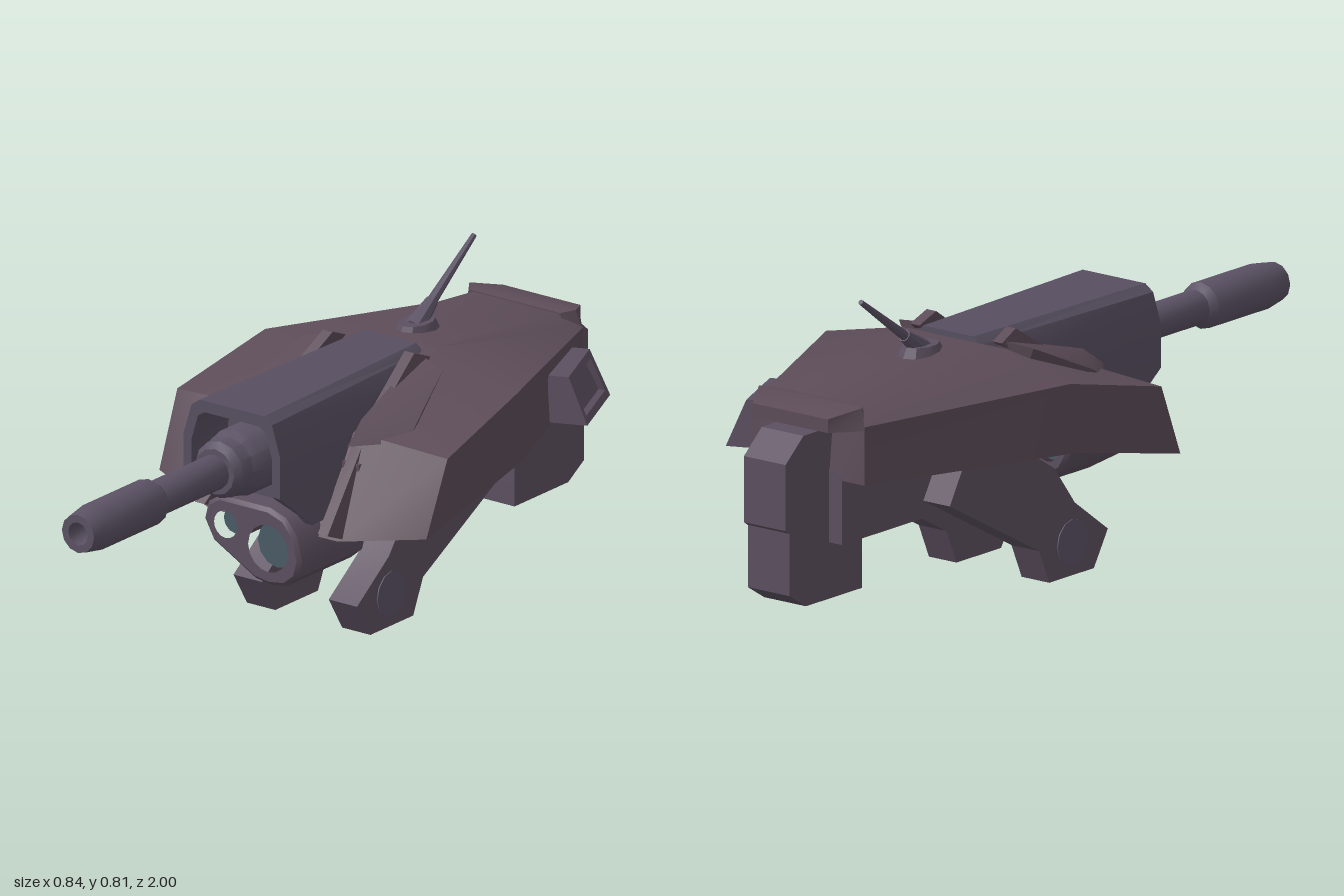
import * as THREE from 'three';
import { toCreasedNormals } from 'three/addons/utils/BufferGeometryUtils.js';
import { ConvexGeometry } from 'three/addons/geometries/ConvexGeometry.js';

const paint = color => new THREE.MeshStandardMaterial({ color });
const armour = paint(0x5c4c58);
const hoodPaint = paint(0x574f60);
const gunmetal = paint(0x5b5264);
const frame = paint(0x5c5060);
const glass = paint(0x4a5c66);

function part(name, geometry, material, parent) {
  const mesh = new THREE.Mesh(toCreasedNormals(geometry, 0.6), material);
  mesh.name = name;
  parent.add(mesh);
  return mesh;
}

// Skins rings of [x, y, z] half-sections (bottom to top), mirrored across x.
function loft(halves) {
  const rings = halves.map(h => [...h, ...h.slice().reverse().map(([x, y, z]) => [-x, y, z])]);
  const h = halves[0].length, n = 2 * h, index = [];
  for (let i = 0; i < rings.length - 1; i++) {
    for (let j = 0; j < n; j++) {
      const a = i * n + j, b = i * n + (j + 1) % n;
      if (j < h) index.push(a, b, b + n, a, b + n, a + n);
      else index.push(a, b, a + n, b, b + n, a + n);
    }
  }
  // Symmetric end caps: a fan on each half and a quad between them
  const cap = [[0, h - 1, h], [0, h, n - 1]];
  for (let j = 1; j < h - 1; j++) {
    cap.push([0, j, j + 1], [n - 1, n - 2 - j, n - 1 - j]);
  }
  const last = (rings.length - 1) * n;
  for (const [a, b, c] of cap) index.push(a, c, b, last + a, last + b, last + c);
  const g = new THREE.BufferGeometry();
  g.setAttribute('position', new THREE.Float32BufferAttribute(rings.flat(2), 3));
  g.setIndex(index);
  return g;
}

const outline = pts => new THREE.Shape(pts.map(p => new THREE.Vector2(...p)));

// Extrudes a [z, y] side profile across x, centred on x.
function slab(pts, width, x = 0) {
  const g = new THREE.ExtrudeGeometry(outline(pts), { depth: width, bevelEnabled: false });
  return g.rotateY(-Math.PI / 2).translate(x + width / 2, 0, 0);
}

// Turns a [radius, length] profile about the z axis.
function turned(pts, sides) {
  const g = new THREE.LatheGeometry(pts.map(p => new THREE.Vector2(...p)), sides);
  return g.rotateX(Math.PI / 2);
}

export function createModel() {
  const model = new THREE.Group();
  model.name = 'gunPod';

  // Armoured upper shell
  part('upperHull', loft([
    [[0.10, 0.40, -0.83], [0.18, 0.40, -0.83], [0.18, 0.55, -0.83], [0.13, 0.585, -0.81]],
    [[0.14, 0.40, -0.28], [0.405, 0.405, -0.28], [0.39, 0.58, -0.28], [0.13, 0.64, -0.30]],
    [[0.20, 0.29, 0.20], [0.415, 0.32, 0.12], [0.42, 0.51, 0.04], [0.20, 0.52, 0.05]],
  ]), armour, model);

  // Central hood with a recessed front opening
  const hood = (z, chin) => [
    [0.145, 0.33, chin], [0.15, 0.44, z], [0.15, 0.55, z], [0.125, 0.63, z], [0.10, 0.648, z]];
  const opening = (z, chin) => [
    [0.12, 0.35, chin], [0.125, 0.44, z], [0.125, 0.54, z], [0.105, 0.605, z], [0.085, 0.618, z]];
  const hoodBack = hood(-0.28, -0.28).map(([x, y, z]) => [x * 0.8, y, z]);
  part('hood', loft([hoodBack, hood(0.37, 0.23), opening(0.37, 0.24), opening(0.22, 0.22)]), hoodPaint, model);
  part('neck', new THREE.BoxGeometry(0.38, 0.12, 0.4).translate(0, 0.4, -0.1), armour, model);

  // Barrel with hollow muzzle
  part('barrel', turned([
    [0, 0.2], [0.087, 0.2], [0.087, 0.36], [0.075, 0.38], [0.075, 0.42], [0.06, 0.44], [0.045, 0.44],
    [0.045, 0.69], [0.06, 0.71], [0.06, 0.94], [0.05, 1], [0.03, 1], [0.026, 0.93], [0, 0.93],
  ], 12).translate(0, 0.5, 0), gunmetal, model);

  // Twin-lens sensor pod
  const lenses = [[-0.08, 0.30, 0.036], [0.052, 0.265, 0.062]];
  const podShape = outline([
    [-0.14, 0.30], [-0.13, 0.34], [-0.10, 0.36], [0.05, 0.36], [0.095, 0.345], [0.125, 0.31],
    [0.14, 0.25], [0.13, 0.21], [0.10, 0.185], [0.055, 0.178], [0.01, 0.185], [-0.115, 0.255]]);
  for (const [x, y, r] of lenses) {
    podShape.holes.push(new THREE.Path().absarc(x, y, r, 0, Math.PI * 2, true));
    const lens = new THREE.CylinderGeometry(r, r, 0.22, 12).rotateX(Math.PI / 2);
    part('lens', lens.translate(x, y, 0.14), glass, model);
  }
  part('sensorPod', new THREE.ExtrudeGeometry(podShape, {
    depth: 0.26, bevelThickness: 0.01, bevelSize: 0.01, bevelSegments: 1, curveSegments: 8,
  }).translate(0, 0, 0.02), frame, model);

  // Underside body and tail
  part('lowerHull', slab([[-0.2, 0.42], [-0.34, 0.235], [-0.83, 0.235], [-0.83, 0.42]], 0.215), frame, model);
  part('tail', slab([
    [-0.70, 0.25], [-0.70, 0.09], [-0.92, 0.09], [-0.985, 0.13], [-0.985, 0.29],
    [-1, 0.30], [-1, 0.47], [-0.93, 0.53], [-0.80, 0.53]], 0.133), frame, model);
  part('tailCap', loft([
    [[0.12, 0.54, -0.9], [0.12, 0.575, -0.9]],
    [[0.18, 0.54, -0.83], [0.165, 0.595, -0.82]],
    [[0.16, 0.54, -0.79], [0.14, 0.59, -0.79]],
  ]), armour, model);

  for (const side of [-1, 1]) {
    // Cheek plates beside the hood, leaning inward towards the top
    const plate = slab([
      [0.25, 0.32], [0.06, 0.50], [-0.19, 0.66], [-0.25, 0.635], [-0.02, 0.46], [0.19, 0.295]], 0.03);
    const p = plate.attributes.position;
    for (let i = 0; i < p.count; i++) {
      const drop = (0.66 - p.getY(i)) / 0.36;
      p.setX(i, p.getX(i) + side * (0.127 + 0.068 * drop));
    }
    part('cheekPlate', plate, armour, model);

    // Raised wedge on the shoulder
    part('shoulderWedge', new ConvexGeometry([
      [0.12, 0.64, -0.24], [0.215, 0.625, -0.21], [0.265, 0.54, -0.03], [0.27, 0.51, 0],
      [0.17, 0.51, 0.12], [0.16, 0.56, 0.05], [0.14, 0.45, -0.2],
    ].map(([x, y, z]) => new THREE.Vector3(side * x, y, z))), armour, model);

    // Leg with foot and ankle disc
    const leg = new THREE.Group();
    leg.name = 'leg';
    part('legBeam', slab([
      [-0.28, 0.40], [-0.10, 0.29], [-0.02, 0.185], [0.11, 0.09], [0.055, 0], [-0.12, 0],
      [-0.16, 0.09], [-0.51, 0.28], [-0.44, 0.40]], 0.088, side * 0.148), frame, leg);
    part('ankleDisc', new THREE.CylinderGeometry(0.06, 0.06, 0.01, 12)
      .rotateZ(Math.PI / 2).translate(side * 0.19, 0.085, -0.03), gunmetal, leg);
    model.add(leg);
  }

  // Wedge-shaped box with a recessed, sloping face on the left flank
  const boxRing = (w, h, low, high) => [[w, -h, low], [w - 0.01, h, high]];
  const flankBox = part('flankBox', loft([
    boxRing(0.115, 0.06, -0.06, -0.06), boxRing(0.115, 0.06, 0.045, -0.005),
    boxRing(0.095, 0.042, 0.037, 0.003), boxRing(0.09, 0.038, 0.022, -0.012)]), frame, model);
  flankBox.position.set(0.3, 0.47, -0.665);
  flankBox.rotation.y = Math.PI / 2 + 0.4;

  // Swept-back antenna with a tapered collar on an oval base
  const antenna = new THREE.Group();
  antenna.name = 'antenna';
  const base = new THREE.CylinderGeometry(0.04, 0.05, 0.025, 10).scale(1, 1, 1.4);
  part('antennaBase', base, frame, antenna);
  const mast = [
    ['antennaCollar', new THREE.CylinderGeometry(0.016, 0.028, 0.09, 8).translate(0, 0.035, 0)],
    ['antennaRod', new THREE.CylinderGeometry(0.007, 0.016, 0.29, 8).translate(0, 0.145, 0)],
  ];
  for (const [name, geometry] of mast) {
    part(name, geometry.rotateX(-0.95), gunmetal, antenna);
  }
  antenna.position.set(-0.018, 0.635, -0.41);
  model.add(antenna);

  return model;
}
